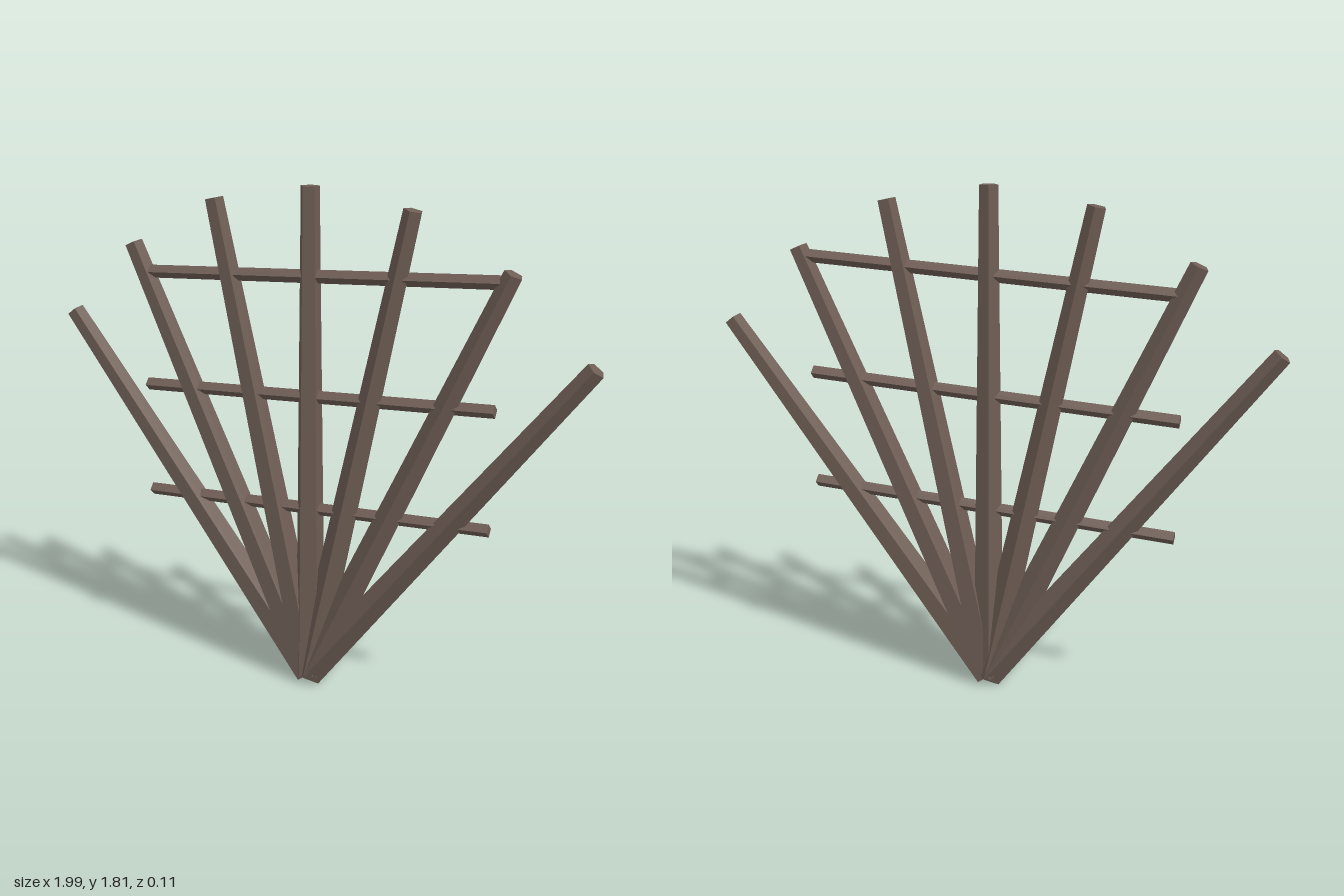
import * as THREE from 'three';

const wood = new THREE.MeshStandardMaterial({ color: 0x6e5d55, flatShading: true });

// Faceted tapered bar from a to b in the z = 0 plane, rolled about its own axis
function bar(name, a, b, rStart, rEnd, sides, roll = 0) {
  const dx = b[0] - a[0], dy = b[1] - a[1];
  const geometry = new THREE.CylinderGeometry(rEnd, rStart, Math.hypot(dx, dy), sides);
  geometry.rotateY(roll);
  const mesh = new THREE.Mesh(geometry, wood);
  mesh.name = name;
  mesh.position.set((a[0] + b[0]) / 2, (a[1] + b[1]) / 2, 0);
  mesh.rotation.z = -Math.atan2(dx, dy);
  return mesh;
}

export function createModel() {
  const group = new THREE.Group();
  group.name = 'fanTrellis';

  // Five-sided ribs fanning out from one foot; mirrored ribs are rolled half a turn
  const foot = [0, 0.035];
  const rib = (name, tip, roll) => group.add(bar(name, foot, tip, 0.057, 0.033, 5, roll));
  rib('centreRib', [0, 1.81], -Math.PI / 2);
  const tips = [[0.363, 1.752], [0.698, 1.578], [0.972, 1.308]];
  tips.forEach(([x, y], i) => {
    rib(`leftRib${i + 1}`, [x, y], 0);
    rib(`rightRib${i + 1}`, [-x, y], Math.PI);
  });

  // Slightly sloping square cross rails, set on edge
  [0.687, 1.098, 1.514].forEach((y, i) => {
    group.add(bar(`crossRail${i + 1}`, [-0.66, y - 0.035], [0.66, y + 0.035], 0.023, 0.023, 4));
  });

  return group;
}
